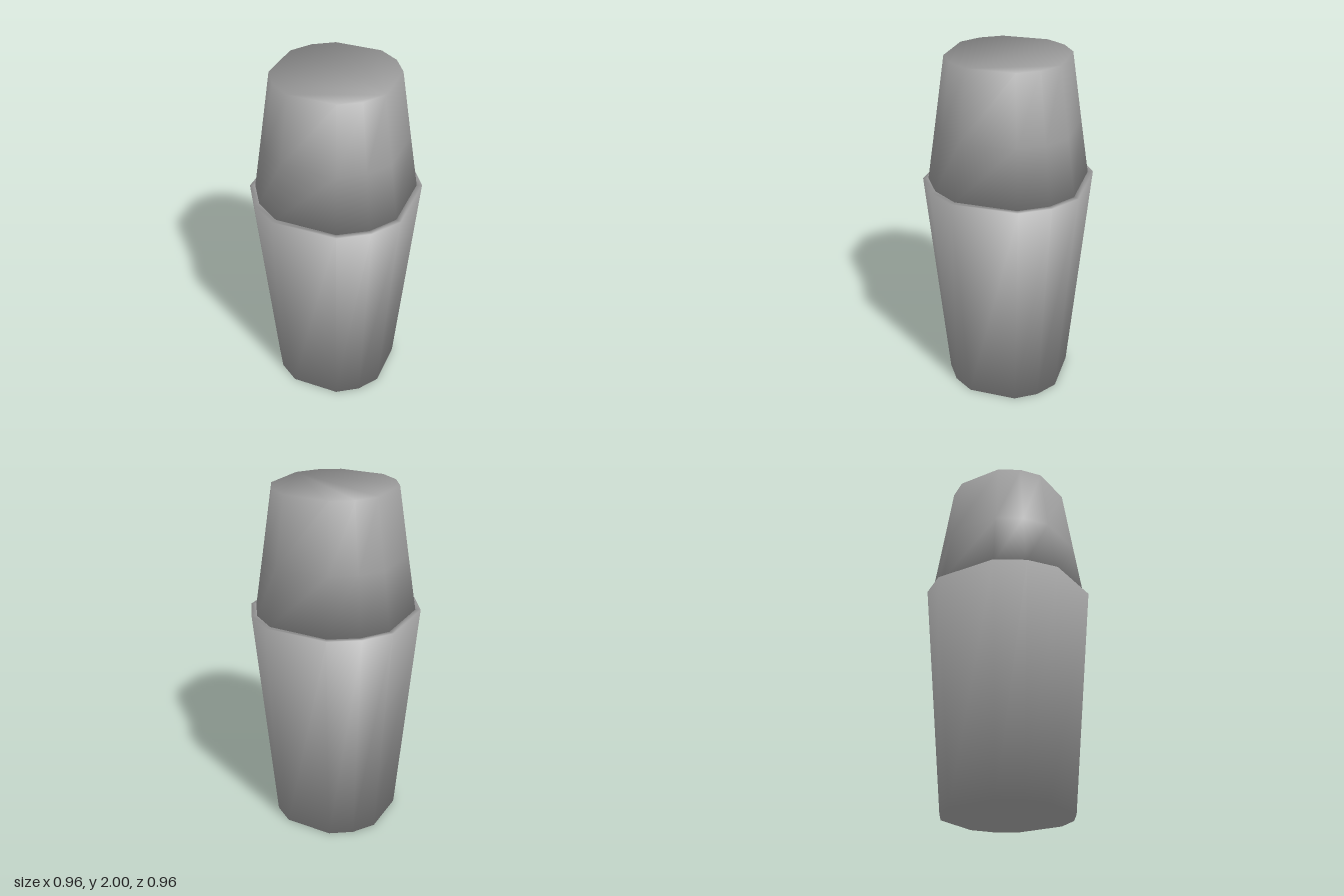
import * as THREE from 'three';

// Corner directions: a 16-gon with one corner of each quarter cut away
const ANGLES = [];
for (let q = 0; q < 4; q++) {
  for (let s = 0; s < 3; s++) ANGLES.push((q * 4 + s) * Math.PI / 8);
}
const N = ANGLES.length;

// Unit normal [radial, up] of the wall between two profile points
function wallNormal([r0, y0], [r1, y1]) {
  return new THREE.Vector2(y1 - y0, r0 - r1).normalize();
}

// Solid swept from a [radius, y] profile, flat at both ends, every edge shaded soft
function softSolid(name, profile, material) {
  const pos = [], norm = [], index = [];
  const last = profile.length - 1;
  profile.forEach(([r, y], k) => {
    const below = k > 0 ? wallNormal(profile[k - 1], profile[k]) : new THREE.Vector2(0, -0.86);
    const above = k < last ? wallNormal(profile[k], profile[k + 1]) : new THREE.Vector2(0, 0.86);
    const n = below.add(above).normalize();
    for (const a of ANGLES) {
      pos.push(r * Math.cos(a), y, r * Math.sin(a));
      norm.push(n.x * Math.cos(a), n.y, n.x * Math.sin(a));
    }
  });
  // walls
  for (let k = 0; k < last; k++) {
    for (let i = 0; i < N; i++) {
      const a = k * N + i, b = k * N + (i + 1) % N;
      index.push(a, a + N, b, b, a + N, b + N);
    }
  }
  // flat ends
  const top = last * N;
  for (let i = 1; i < N - 1; i++) {
    index.push(0, i, i + 1, top, top + i + 1, top + i);
  }
  const geometry = new THREE.BufferGeometry();
  geometry.setAttribute('position', new THREE.Float32BufferAttribute(pos, 3));
  geometry.setAttribute('normal', new THREE.Float32BufferAttribute(norm, 3));
  geometry.setIndex(index);
  const mesh = new THREE.Mesh(geometry, material);
  mesh.name = name;
  return mesh;
}

export function createModel() {
  const group = new THREE.Group();
  group.name = 'taperedContainer';
  const material = new THREE.MeshStandardMaterial({ color: 0x9c9c9c });

  // Cup-shaped body: outer wall, thin rim, inner wall down to the floor
  group.add(softSolid('body', [[0.365, 0], [0.48, 1.3], [0.45, 1.3], [0.34, 0.06]], material));

  // Cap narrows upward from inside the rim
  group.add(softSolid('cap', [[0.45, 1.3], [0.4, 1.62], [0.342, 2]], material));

  return group;
}
